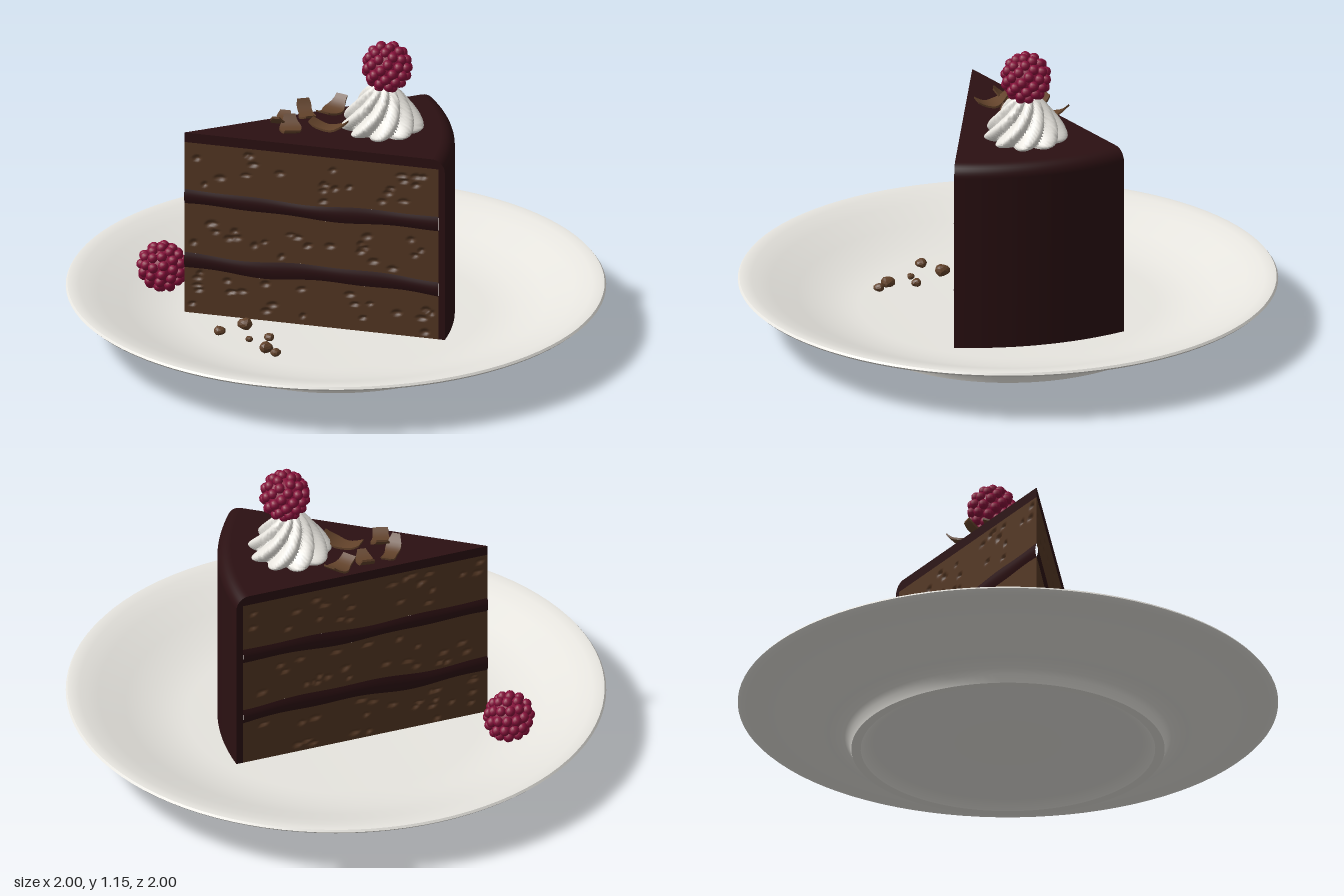
import * as THREE from 'three';
import { mergeGeometries, toCreasedNormals } from 'three/addons/utils/BufferGeometryUtils.js';

const mat = (name, color) => new THREE.MeshStandardMaterial({ name, color });
const V2 = (pts) => pts.map(([x, y]) => new THREE.Vector2(x, y));

function seeded(seed) {
  return () => {
    seed = (seed * 16807) % 2147483647;
    return seed / 2147483647;
  };
}

// Move every vertex of a geometry by a rule
function warp(geo, rule) {
  const p = geo.attributes.position;
  const v = new THREE.Vector3();
  for (let i = 0; i < p.count; i++) {
    rule(v.fromBufferAttribute(p, i));
    p.setXYZ(i, v.x, v.y, v.z);
  }
  geo.computeVertexNormals();
  return geo;
}

export function createModel() {
  const porcelain = mat('porcelain', 0xf0eee8);
  const cream = mat('cream', 0xfaf7f0);
  const frosting = mat('frosting', 0x2b1012);
  const sponge = mat('sponge', 0x543723);
  const chocolate = mat('chocolate', 0x62422a);
  const berryRed = mat('berryRed', 0x86103a);

  const model = new THREE.Group();
  const add = (parent, name, geo, material, x = 0, y = 0, z = 0) => {
    const mesh = new THREE.Mesh(geo, material);
    mesh.name = name;
    mesh.position.set(x, y, z);
    parent.add(mesh);
    return mesh;
  };

  // Plate: underside with foot ring, rim, then the shallow well
  const FLOOR = 0.09;
  const plateProfile = V2([
    [0, 0.025], [0.5, 0.025], [0.525, 0.018], [0.545, 0.0], [0.58, 0.0], [0.59, 0.03], [0.605, 0.048],
    [0.66, 0.065], [0.74, 0.095], [0.82, 0.132], [0.9, 0.163], [0.96, 0.176], [0.99, 0.182], [1.0, 0.191],
    [0.994, 0.199], [0.98, 0.2], [0.95, 0.195], [0.88, 0.174], [0.78, 0.135], [0.68, 0.105],
    [0.6, 0.093], [0.55, FLOOR], [0, FLOOR],
  ]);
  add(model, 'plate', toCreasedNormals(new THREE.LatheGeometry(plateProfile, 96), 0.6), porcelain);

  // Cake slice, with its tip at the group's origin
  const slice = new THREE.Group();
  slice.name = 'cakeSlice';
  slice.position.set(-0.36, 0, 0.43);
  model.add(slice);
  const TOP = 0.81, ROUND = 0.05, SKIN = 0.975;
  const phi0 = THREE.MathUtils.degToRad(122.6), phiLen = THREE.MathUtils.degToRad(38);

  // Frosting over the top and the curved back
  const shell = [[1, FLOOR]];
  for (let i = 0; i <= 8; i++) {
    const a = (i / 8) * Math.PI / 2;
    shell.push([1 - ROUND + ROUND * Math.cos(a), TOP - ROUND + ROUND * Math.sin(a)]);
  }
  shell.push([0, TOP]);
  const shellGeo = new THREE.LatheGeometry(V2(shell), 32, phi0, phiLen);
  add(slice, 'frostingShell', shellGeo, frosting);

  // Heights of the layer boundaries along the cut, from bottom to top
  const wave = (k, amp) => (r) => amp * Math.sin(r * 8 + k) + amp * 0.6 * Math.sin(r * 17 + k * 2.3);
  const level = (y, k, amp) => (r) => y + wave(k, amp)(r);
  const levels = [
    level(FLOOR, 0, 0), level(0.268, 2.5, 0.007), level(0.328, 3.1, 0.006),
    level(0.522, 0.4, 0.005), level(0.578, 1.2, 0.005), level(0.772, 0, 0),
  ];

  // One layer of a cut face: sponge gets small pits, filling bulges slightly
  function layerGeometry(side, i, rand) {
    const isSponge = i % 2 === 0;
    const pits = [];
    for (let n = 0; isSponge && n < 24; n++) {
      pits.push({ r: 0.03 + rand() * 0.92, v: 0.1 + rand() * 0.8, w: 0.009 + rand() * 0.009, h: 0.005 + rand() * 0.004 });
    }
    const geo = new THREE.PlaneGeometry(1, 1, isSponge ? 150 : 60, isSponge ? 32 : 6);
    return warp(geo, (p) => {
      const r = (0.5 + side * p.x) * SKIN, v = p.y + 0.5;
      const lo = levels[i](r), hi = levels[i + 1](r);
      const y = lo + (hi - lo) * v;
      let depth = isSponge ? 0 : 0.006 * Math.sin(Math.PI * v);
      for (const pit of pits) {
        const d = ((r - pit.r) / pit.w) ** 2 + ((y - lo - (hi - lo) * pit.v) / pit.h) ** 2;
        if (d < 2) depth = Math.min(depth, -0.009 * (1 - d / 2));
      }
      p.set(side * r, y, depth);
    });
  }

  // Both cut faces
  for (const side of [1, -1]) {
    const cut = new THREE.Group();
    cut.name = side > 0 ? 'frontCut' : 'backCut';
    cut.rotation.y = side > 0 ? phi0 - Math.PI / 2 : phi0 + phiLen + Math.PI / 2;
    slice.add(cut);
    const rand = seeded(side > 0 ? 77 : 4211);
    for (let i = 0; i < 5; i++) {
      const isSponge = i % 2 === 0;
      add(cut, isSponge ? 'spongeLayer' : 'fillingLayer', layerGeometry(side, i, rand), isSponge ? sponge : frosting);
    }
    const edge = [[0, 0.772], [SKIN, 0.772], [SKIN, FLOOR], ...shell];
    add(cut, 'frostingEdge', new THREE.ShapeGeometry(new THREE.Shape(V2(edge.map(([x, y]) => [side * x, y])))), frosting);
  }

  // Piped cream with twisted ridges
  const swirlCurve = new THREE.SplineCurve(V2([
    [0.125, 0], [0.143, 0.018], [0.128, 0.055], [0.098, 0.1], [0.066, 0.145], [0.035, 0.175], [0, 0.185],
  ]));
  const swirl = warp(new THREE.LatheGeometry(swirlCurve.getPoints(28), 108), (p) => {
    const a = Math.atan2(p.x, p.z);
    const ridge = Math.abs(Math.cos(4.5 * (a - 7 * p.y)));
    const s = 0.8 + 0.3 * ridge;
    p.x *= s;
    p.z *= s;
  });
  add(model, 'creamSwirl', toCreasedNormals(swirl, 0.9), cream, 0.09, TOP - 0.003, -0.148);

  // Raspberries: drupelets spread evenly over a core
  const drupelets = [new THREE.SphereGeometry(0.078, 16, 12)];
  const COUNT = 58;
  for (let i = 0; i < COUNT; i++) {
    const h = 1 - (2 * i + 1) / COUNT, a = i * 2.39996, q = Math.sqrt(1 - h * h);
    const ball = new THREE.SphereGeometry(0.0195, 10, 8);
    ball.translate(0.077 * q * Math.cos(a), 0.08 * h, 0.077 * q * Math.sin(a));
    drupelets.push(ball);
  }
  const berryGeo = mergeGeometries(drupelets);
  add(model, 'topRaspberry', berryGeo, berryRed, 0.105, 1.055, -0.16);
  add(model, 'plateRaspberry', berryGeo, berryRed, -0.56, 0.19, 0.36).rotation.set(0.5, 0.4, 0.3);

  // Curled chocolate shavings: x, z, length, width, turn, tilt
  const shavings = [
    [-0.13, -0.1, 0.14, 0.075, 1.85, 0.15], [-0.165, 0.0, 0.12, 0.06, -0.5, -0.2],
    [-0.01, 0.02, 0.15, 0.065, 0.45, 0.1], [-0.175, 0.12, 0.14, 0.055, -1.0, 0.2],
    [-0.095, 0.14, 0.12, 0.075, -0.65, -0.15],
  ];
  for (const [x, z, len, wid, turn, tilt] of shavings) {
    const flake = warp(new THREE.BoxGeometry(len, 0.008, wid, 10, 1, 4), (p) => {
      const t = p.x / (len / 2);
      p.z *= 1 - 0.35 * t * t + 0.12 * Math.sin(t * 5 + x * 40);
      p.y += 0.03 * t * t;
    });
    add(model, 'chocolateShaving', toCreasedNormals(flake, 0.6), chocolate, x, TOP + 0.012, z).rotation.set(0, turn, tilt, 'YXZ');
  }

  // Crumbs on the plate: x, z, radius
  const crumbs = [
    [-0.09, 0.37, 0.028], [0.055, 0.38, 0.019], [0.01, 0.44, 0.014],
    [-0.11, 0.48, 0.022], [0.125, 0.46, 0.026], [0.18, 0.46, 0.02],
  ];
  crumbs.forEach(([x, z, r], i) => {
    const lump = warp(new THREE.IcosahedronGeometry(r, 1), (p) => {
      p.multiplyScalar(1 + 0.14 * Math.sin(p.x / r * 4 + i) * Math.cos(p.z / r * 3 + i * 2));
      p.y *= 0.8;
    });
    add(model, 'crumb', lump, chocolate, x, FLOOR + r * 0.75, z);
  });

  return model;
}
